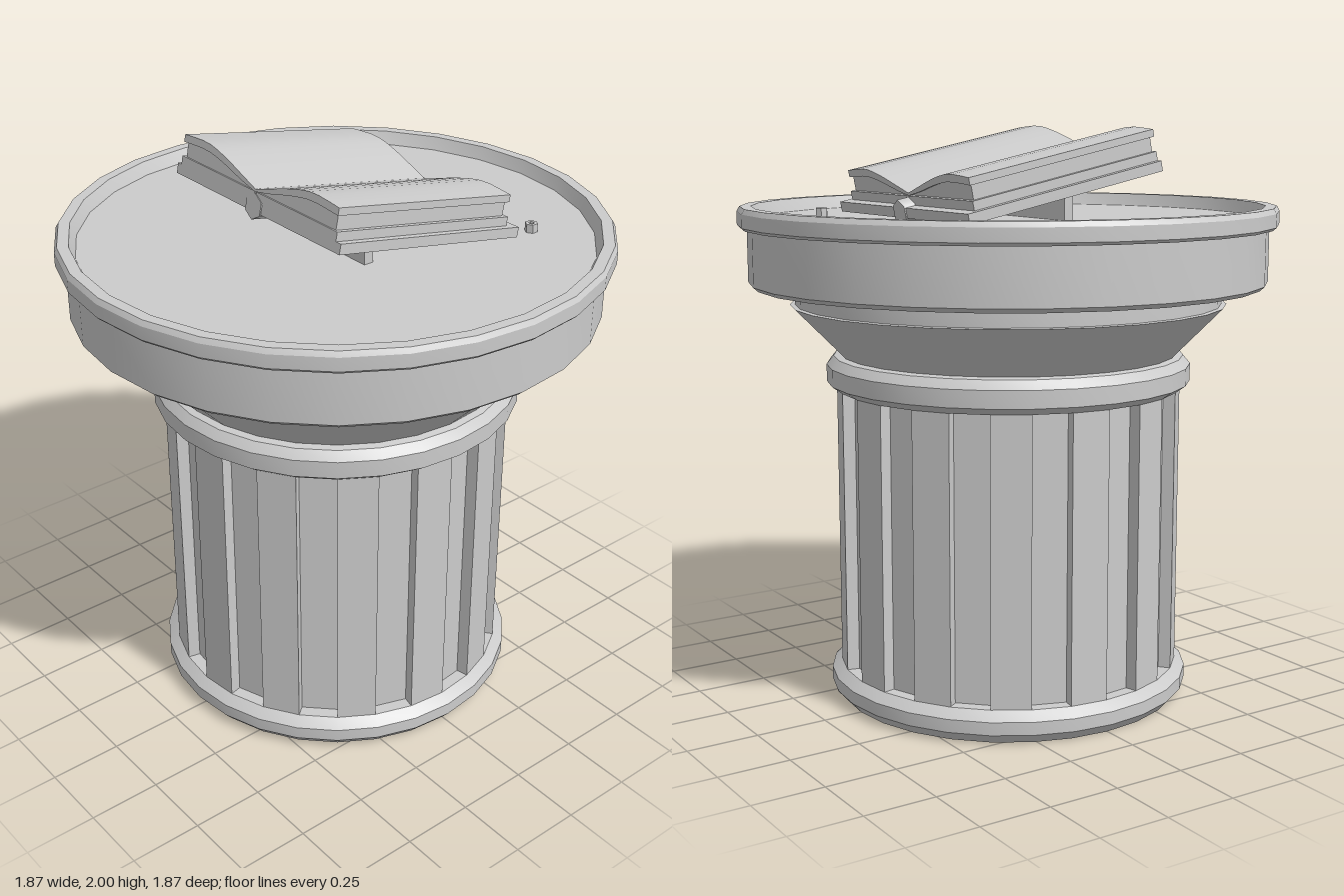
import * as THREE from 'three';
import { toCreasedNormals } from 'three/addons/utils/BufferGeometryUtils.js';

const SIDES = 28;
const material = new THREE.MeshStandardMaterial({ color: 0xcccccc, side: THREE.DoubleSide });

function part(name, geometry, parent, x = 0, y = 0, z = 0) {
  const mesh = new THREE.Mesh(geometry, material);
  mesh.name = name;
  mesh.position.set(x, y, z);
  parent.add(mesh);
  return mesh;
}

function turned(profile) {
  const points = profile.map(([r, y]) => new THREE.Vector2(r, y));
  return toCreasedNormals(new THREE.LatheGeometry(points, SIDES), 0.45);
}

// Open fluted shell: every second facet is sunk, with ledges closing each groove
function flutedShell(outer, inner, y0, y1) {
  const positions = [];
  const at = (r, a, y) => [r * Math.sin(a), y, r * Math.cos(a)];
  const quad = (a, b, c, d) => positions.push(...a, ...b, ...c, ...a, ...c, ...d);
  const step = (Math.PI * 2) / SIDES;
  for (let i = 0; i < SIDES; i++) {
    const a = i * step, b = a + step;
    const groove = i % 2 === 1;
    const r = groove ? inner : outer;
    const next = groove ? outer : inner;
    quad(at(r, a, y0), at(r, b, y0), at(r, b, y1), at(r, a, y1));
    quad(at(r, b, y0), at(next, b, y0), at(next, b, y1), at(r, b, y1));
    if (groove) {
      quad(at(outer, a, y0), at(outer, b, y0), at(inner, b, y0), at(inner, a, y0));
      quad(at(inner, a, y1), at(inner, b, y1), at(outer, b, y1), at(outer, a, y1));
    }
  }
  const geometry = new THREE.BufferGeometry();
  geometry.setAttribute('position', new THREE.Float32BufferAttribute(positions, 3));
  geometry.computeVertexNormals();
  return geometry;
}

// Half of the open pages, between two edge curves, extruded along the book
function pageSection(top, bottom, side, length) {
  const curve = (pts) => new THREE.SplineCurve(
    pts.map(([x, y]) => new THREE.Vector2(x * side, y))).getPoints(10);
  const shape = new THREE.Shape([...curve(top), ...curve(bottom).reverse()]);
  const geometry = new THREE.ExtrudeGeometry(shape, { depth: length, bevelEnabled: false });
  geometry.translate(0, 0, -length / 2);
  return toCreasedNormals(geometry, 0.5);
}

function createBook() {
  const book = new THREE.Group();
  book.name = 'openBook';
  part('bookCover', new THREE.BoxGeometry(0.865, 0.035, 0.776), book, 0, 0.0175, 0);

  const spine = new THREE.CylinderGeometry(0.044, 0.044, 0.785, 6);
  spine.rotateX(Math.PI / 2);
  part('bookSpine', spine, book, 0, 0.018, 0);

  const upper = [[0, 0.075], [0.08, 0.1], [0.18, 0.13], [0.28, 0.148], [0.405, 0.14]];
  const lower = [[0, 0.066], [0.08, 0.082], [0.18, 0.107], [0.28, 0.122], [0.405, 0.115]];
  const flat = [[0, 0.06], [0.395, 0.065]];
  const gap = lower.map(([x, y]) => [Math.min(x, 0.395), y]);
  for (const side of [-1, 1]) {
    const label = side > 0 ? 'left' : 'right';
    part(label + 'LowerPages', new THREE.BoxGeometry(0.405, 0.032, 0.74), book,
      side * 0.2075, 0.05, 0.02);
    part(label + 'MiddlePages', pageSection(gap, flat, side, 0.72), book, 0, 0, 0.023);
    part(label + 'TopPages', pageSection(upper, lower, side, 0.74), book, 0, 0, 0.023);
  }
  book.position.set(-0.01, 1.779, -0.05);
  book.rotation.x = -0.198;
  return book;
}

export function createModel() {
  const model = new THREE.Group();
  model.name = 'columnTable';

  // Fluted column between two rings
  part('baseRing', turned([[0.61, 0], [0.64, 0.035], [0.64, 0.08], [0.605, 0.11]]), model);
  part('flutedColumn', flutedShell(0.605, 0.562, 0.11, 1.1), model);
  part('neckRing', turned([
    [0.605, 1.1], [0.64, 1.125], [0.64, 1.185], [0.615, 1.215], [0.59, 1.22],
  ]), model);

  // Flared capital and rimmed round top
  part('capital', turned([[0.59, 1.22], [0.762, 1.395], [0.745, 1.397], [0.745, 1.46]]), model);
  part('tableTop', turned([
    [0.745, 1.46], [0.885, 1.46], [0.902, 1.475], [0.902, 1.665], [0.925, 1.662],
    [0.935, 1.672], [0.935, 1.718], [0.925, 1.735], [0.887, 1.735], [0.868, 1.69], [0, 1.69],
  ]), model);

  // Book propped on a low bar
  model.add(createBook());
  part('bookRest', new THREE.BoxGeometry(0.52, 0.095, 0.035), model, -0.01, 1.7375, 0.067);

  // Small hollow peg
  const peg = [[0.01, 1.69], [0.01, 1.72], [0.022, 1.72], [0.022, 1.69]]
    .map(([r, y]) => new THREE.Vector2(r, y));
  part('peg', toCreasedNormals(new THREE.LatheGeometry(peg.reverse(), 6), 0.5), model,
    0.395, 0, -0.525);

  return model;
}
